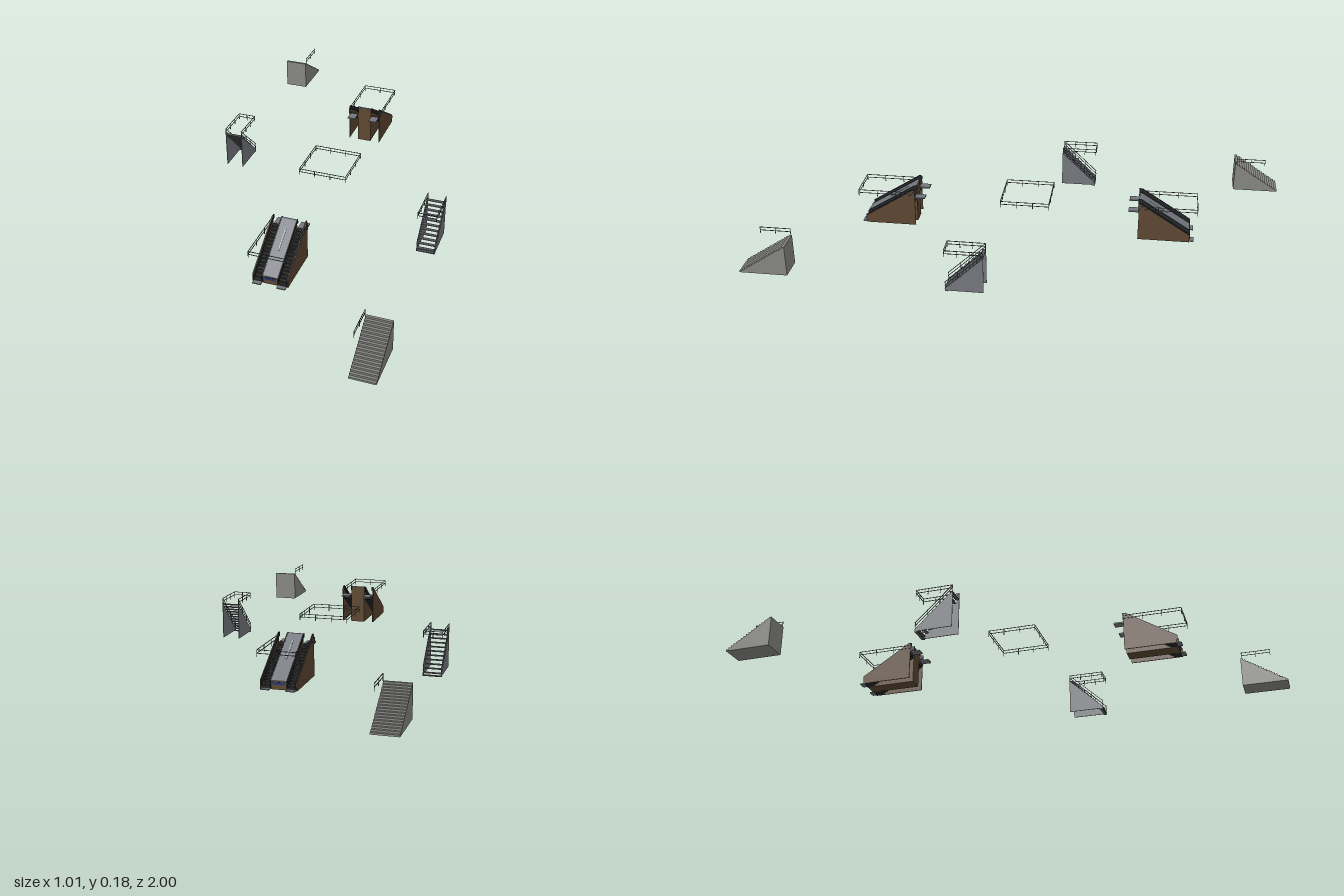
import * as THREE from 'three';

const mat = (color) => new THREE.MeshStandardMaterial({ color, side: THREE.DoubleSide });
const M = {
  stone: mat(0x858583), steel: mat(0x74777d), dark: mat(0x222428), brown: mat(0x5c4630),
  gold: mat(0x9a7b3a), rail: mat(0x55585c), light: mat(0xb8bcc0), blue: mat(0x26336e),
};

function add(parent, name, geo, material) {
  const m = new THREE.Mesh(geo, material);
  m.name = name;
  parent.add(m);
  return m;
}

// Box given by its min and max on each axis
function box(parent, name, [x0, x1], [y0, y1], [z0, z1], material) {
  const g = new THREE.BoxGeometry(x1 - x0, y1 - y0, z1 - z0);
  g.translate((x0 + x1) / 2, (y0 + y1) / 2, (z0 + z1) / 2);
  return add(parent, name, g, material);
}

// Side profile of [z, y] points, swept from x0 to x1
function sweep(parent, name, pts, x0, x1, material) {
  const shape = new THREE.Shape(pts.map(([z, y]) => new THREE.Vector2(z, y)));
  const g = new THREE.ExtrudeGeometry(shape, { depth: x1 - x0, bevelEnabled: false });
  g.rotateY(-Math.PI / 2).translate(x1, 0, 0);
  return add(parent, name, g, material);
}

// Thin square bar between two points
function bar(parent, name, a, b, material = M.rail, t = 0.002) {
  const A = new THREE.Vector3(...a), B = new THREE.Vector3(...b);
  const m = add(parent, name, new THREE.BoxGeometry(t, t, A.distanceTo(B) + t), material);
  m.position.copy(A).add(B).multiplyScalar(0.5);
  m.lookAt(B);
  return m;
}

// Level guard rail through [x, z] corners: two rails and posts
function guard(parent, corners, spacing = 0.065) {
  const g = new THREE.Group();
  g.name = 'guardRail';
  parent.add(g);
  for (let i = 0; i < corners.length - 1; i++) {
    const [x0, z0] = corners[i], [x1, z1] = corners[i + 1];
    for (const y of [0.157, 0.169]) bar(g, 'rail', [x0, y, z0], [x1, y, z1]);
    const n = Math.max(1, Math.round(Math.hypot(x1 - x0, z1 - z0) / spacing));
    for (let k = 0; k <= n; k++) {
      const x = x0 + (x1 - x0) * k / n, z = z0 + (z1 - z0) * k / n;
      bar(g, 'post', [x, 0.145, z], [x, 0.169, z]);
    }
  }
}

// Sawtooth of steps climbing from zLow to zHigh
function stepPoints(n, zLow, zHigh, yLow, yHigh) {
  const pts = [], dz = (zHigh - zLow) / n, dy = (yHigh - yLow) / n;
  for (let i = 0; i < n; i++) {
    pts.push([zLow + i * dz, yLow + (i + 1) * dy], [zLow + (i + 1) * dz, yLow + (i + 1) * dy]);
  }
  return pts;
}

function wideStairs() {
  const g = new THREE.Group();
  g.name = 'wideStairs';
  sweep(g, 'solidSteps', [[0.82, 0.027], [1, 0.027], ...stepPoints(18, 1, 0.82, 0.027, 0.145)], 0.41, 0.503, M.stone);
  guard(g, [[0.408, 0.825], [0.408, 0.94]]);
  return g;
}

function narrowStairs() {
  const g = new THREE.Group();
  g.name = 'narrowStairs';
  const x0 = 0.42, x1 = 0.49, n = 11;
  for (const x of [x0, x1 - 0.002]) {
    sweep(g, 'sidePanel', [[0.095, 0.003], [0.237, 0.003], [0.237, 0.012], [0.095, 0.146]], x, x + 0.002, M.steel);
    // Sloping handrail with posts
    const c = x + 0.001;
    bar(g, 'handrail', [c, 0.037, 0.237], [c, 0.169, 0.097]);
    bar(g, 'middleRail', [c, 0.024, 0.237], [c, 0.157, 0.097]);
    for (let k = 0; k <= 3; k++) {
      const z = 0.235 - k * 0.046, y = 0.012 + (0.237 - z) * 0.944;
      bar(g, 'handrailPost', [c, y, z], [c, y + 0.026, z]);
    }
  }
  // Open treads
  for (let i = 0; i < n; i++) {
    const y = (i + 1) * 0.145 / n, z = 0.236 - i * 0.141 / n;
    box(g, 'tread', [x0, x1], [y - 0.003, y], [z - 0.0125, z], M.rail);
    box(g, 'treadEdge', [x0 + 0.002, x1 - 0.002], [y - 0.0025, y + 0.0005], [z - 0.0015, z + 0.0005], M.steel);
  }
  box(g, 'footPlate', [x0, x1], [0, 0.003], [0.225, 0.237], M.rail);
  guard(g, [[x0, 0.097], [x0, 0.237], [x1, 0.237], [x1, 0.097]], 0.04);
  return g;
}

function escalator() {
  const g = new THREE.Group();
  g.name = 'escalator';
  const wall = [[0.437, 0.027], [0.635, 0.027], [0.635, 0.057], [0.445, 0.178], [0.437, 0.178]];
  // Central divider with a sloping metal cover
  sweep(g, 'centreBlock', wall, -0.028, 0.028, M.brown);
  sweep(g, 'slopeCover', [[0.636, 0.057], [0.636, 0.059], [0.445, 0.18], [0.437, 0.18], [0.437, 0.178], [0.445, 0.178]], -0.028, 0.028, M.steel);
  sweep(g, 'lightStrip', [[0.55, 0.113], [0.55, 0.1155], [0.475, 0.163], [0.475, 0.1605]], -0.002, 0.002, M.light);
  box(g, 'frontPanel', [-0.021, 0.021], [0.044, 0.054], [0.634, 0.637], M.blue);
  for (const s of [-1, 1]) {
    const span = (a, b) => (s > 0 ? [a, b] : [-b, -a]);
    const part = (name, pts, a, b, m) => sweep(g, name, pts, ...span(a, b), m);
    // Outer wall and the dark handrails on both sides of the lane
    part('outerWall', wall, 0.064, 0.067, M.brown);
    const belt = [[0.638, 0.04], [0.638, 0.059], [0.446, 0.181], [0.434, 0.181], [0.434, 0.165], [0.445, 0.165], [0.63, 0.04]];
    part('handrail', belt, 0.061, 0.0645, M.dark);
    part('handrail', belt, 0.0275, 0.031, M.dark);
    // Moving steps: thin sawtooth band with coloured edges
    const n = 16, dz = 0.198 / n, dy = 0.115 / n;
    part('steps', [[0.437, 0.128], [0.61, 0.027], [0.635, 0.027], ...stepPoints(n, 0.635, 0.437, 0.03, 0.145)], 0.03, 0.062, M.dark);
    for (let i = 0; i < n; i++) {
      const y = 0.03 + (i + 1) * dy, z = 0.635 - i * dz;
      box(g, 'stepEdge', span(0.032, 0.06), [y - 0.001, y + 0.0005], [z - 0.002, z], i % 2 ? M.gold : M.rail);
    }
    // Landing plates at the top and the bottom
    box(g, 'topLanding', span(0.03, 0.062), [0.141, 0.146], [0.398, 0.437], M.steel);
    box(g, 'bottomLanding', span(0.03, 0.062), [0.027, 0.031], [0.635, 0.652], M.steel);
  }
  guard(g, [[-0.068, 0.437], [-0.068, 0.66], [0.068, 0.66], [0.068, 0.437]], 0.075);
  return g;
}

export function createModel() {
  const model = new THREE.Group();
  // Same set of stairs on the front and, turned half round, on the back
  for (const turn of [0, Math.PI]) {
    const half = new THREE.Group();
    half.name = turn ? 'backStairs' : 'frontStairs';
    half.add(wideStairs(), narrowStairs(), escalator());
    half.rotation.y = turn;
    model.add(half);
  }
  // Square guard round the central opening
  const c = 0.094;
  const centre = new THREE.Group();
  centre.name = 'centralOpening';
  guard(centre, [[-c, -c], [c, -c], [c, c], [-c, c], [-c, -c]]);
  model.add(centre);
  return model;
}
